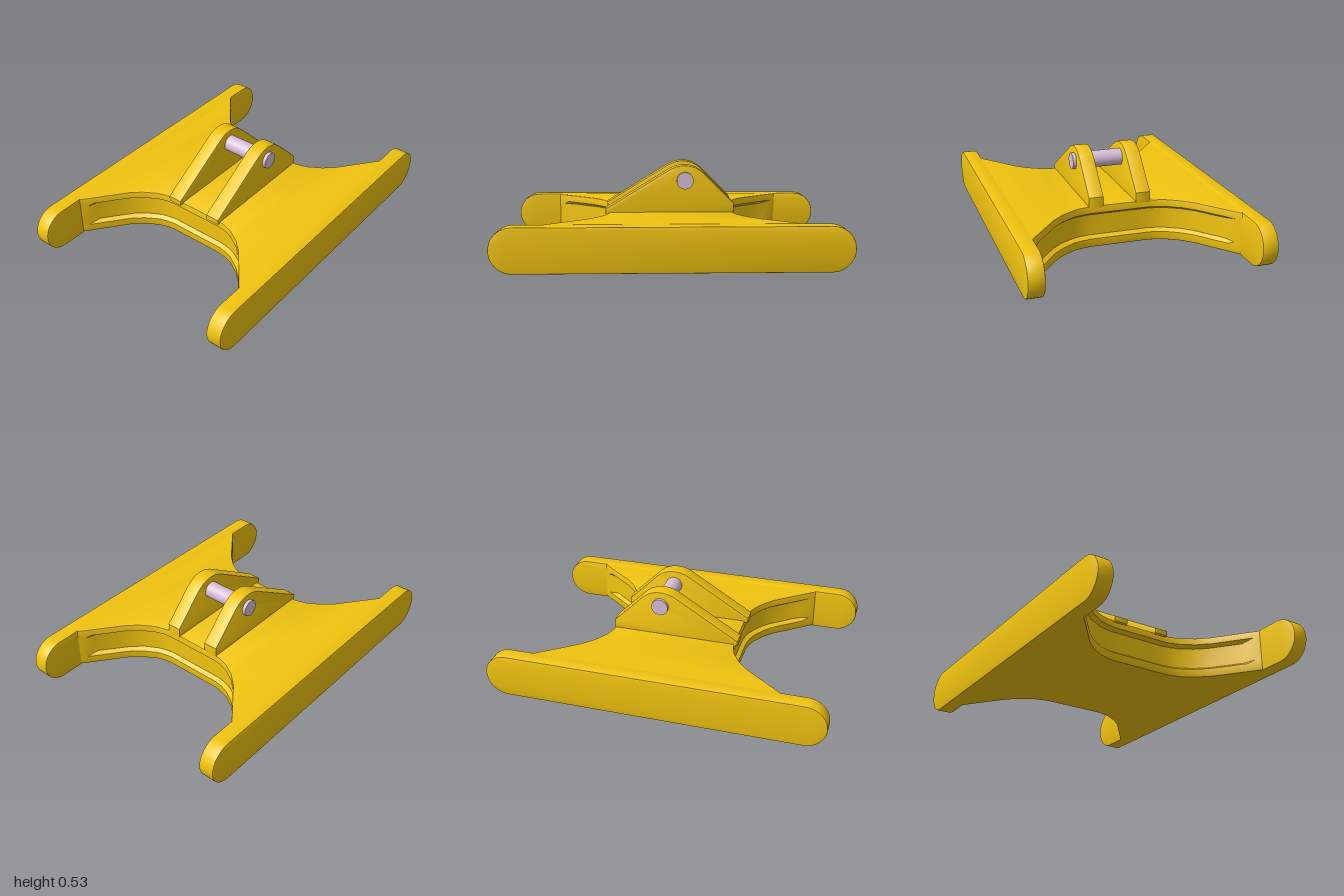
import * as THREE from 'three';
import { toCreasedNormals } from 'three/addons/utils/BufferGeometryUtils.js';

const yellow = new THREE.MeshStandardMaterial({ color: 0xf1c40f });
const pinkSteel = new THREE.MeshStandardMaterial({ color: 0xd8bfd8 });

// Plate drawn in (z, y), extruded along x with small rounded edges
function plate(name, shape, x0, x1, bevel) {
  const depth = x1 - x0 - 2 * bevel;
  const geo = new THREE.ExtrudeGeometry(shape, {
    depth, bevelThickness: bevel, bevelSize: bevel, bevelOffset: -bevel, bevelSegments: 2, curveSegments: 10,
  });
  geo.translate(0, 0, -depth / 2);
  geo.rotateY(-Math.PI / 2);
  geo.translate((x0 + x1) / 2, 0, 0);
  const mesh = new THREE.Mesh(toCreasedNormals(geo, 0.6), yellow);
  mesh.name = name;
  return mesh;
}

// Waisted middle body: cross-sections in (z, y) lofted along x
function webGeometry() {
  // [x, half width in z, recess depth in z, edge rounding in z]
  const half = [
    [0.09, 0.37, 0.025, 0.008], [0.18, 0.37, 0.025, 0.008], [0.23, 0.379, 0.026, 0.008],
    [0.28, 0.395, 0.028, 0.009], [0.36, 0.443, 0.032, 0.01], [0.425, 0.503, 0.037, 0.011],
    [0.555, 0.668, 0.04, 0.012], [0.58, 0.7, 0, 0.012], [0.615, 0.743, 0, 0.012],
  ];
  const stations = [...half.map(([x, ...r]) => [-x, ...r]).reverse(), [0, 0.37, 0.025, 0.008], ...half];
  const rings = stations.map(([x, w, d, e]) => {
    const side = [
      [w - e, 0.256], [w - e * 0.3, 0.253], [w, 0.246], [w, 0.212], [w - d, 0.195],
      [w - d, 0.07], [w, 0.053], [w, 0.011], [w - e * 0.3, 0.004], [w - e, 0.001],
    ];
    const back = side.map(([z, y]) => [-z, y]).reverse();
    return [...side, ...back].map(([z, y]) => [x, y, z - 0.005]);
  });
  const pos = [];
  const n = rings[0].length;
  for (let i = 0; i < rings.length - 1; i++) {
    for (let j = 0; j < n; j++) {
      const k = (j + 1) % n;
      const a = rings[i][j], b = rings[i + 1][j], c = rings[i + 1][k], d = rings[i][k];
      pos.push(...a, ...d, ...b, ...d, ...c, ...b);
    }
  }
  const geo = new THREE.BufferGeometry();
  geo.setAttribute('position', new THREE.Float32BufferAttribute(pos, 3));
  return toCreasedNormals(geo, 0.5);
}

export function createModel() {
  const group = new THREE.Group();
  group.name = 'bracketFrame';

  const web = new THREE.Mesh(webGeometry(), yellow);
  web.name = 'web';
  group.add(web);

  // Side rails with round ends
  const r = 0.1285;
  const rail = new THREE.Shape();
  rail.absarc(1 - r, r, r, -Math.PI / 2, Math.PI / 2);
  rail.absarc(-1 + r, r, r, Math.PI / 2, Math.PI * 1.5);
  rail.closePath();
  group.add(plate('leftRail', rail, 0.605, 0.698, 0.005));
  group.add(plate('rightRail', rail, -0.698, -0.605, 0.005));

  // Pair of upright lugs
  const lug = new THREE.Shape();
  lug.moveTo(0.385, 0.245);
  lug.lineTo(0.385, 0.277);
  lug.lineTo(0.01, 0.506);
  lug.quadraticCurveTo(-0.035, 0.534, -0.087, 0.534);
  lug.quadraticCurveTo(-0.15, 0.534, -0.2, 0.487);
  lug.lineTo(-0.378, 0.308);
  lug.lineTo(-0.378, 0.245);
  lug.closePath();
  group.add(plate('leftLug', lug, 0.098, 0.188, 0.006));
  group.add(plate('rightLug', lug, -0.188, -0.098, 0.006));

  // Cross pin through both lugs
  const pin = new THREE.Mesh(new THREE.CylinderGeometry(0.05, 0.05, 0.416, 32), pinkSteel);
  pin.name = 'pin';
  pin.rotation.z = Math.PI / 2;
  pin.position.set(0, 0.445, -0.088);
  group.add(pin);

  return group;
}
